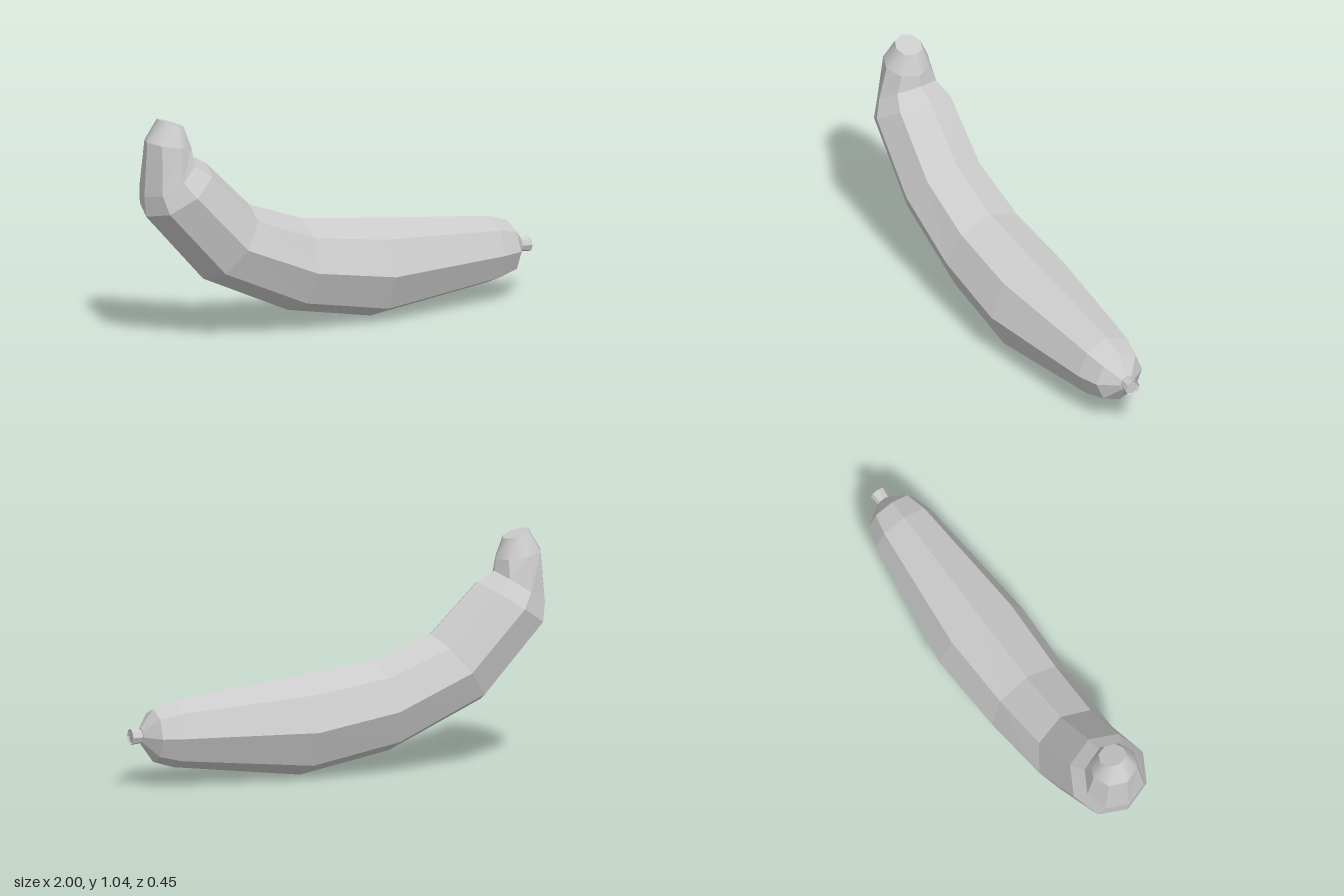
import * as THREE from 'three';

const SIDES = 8;

// Skin octagonal rings, each given by its upper and lower point [topX, topY, bottomX, bottomY].
function loft(name, rings, { flat = true, capStart = false, capEnd = false } = {}) {
  const pos = [], idx = [];
  const addRing = ([tx, ty, bx, by]) => {
    const cx = (tx + bx) / 2, cy = (ty + by) / 2;
    const ux = (tx - bx) / 2, uy = (ty - by) / 2, r = Math.hypot(ux, uy);
    const start = pos.length / 3;
    for (let j = 0; j < SIDES; j++) {
      const a = (j / SIDES) * Math.PI * 2;
      pos.push(cx + ux * Math.cos(a), cy + uy * Math.cos(a), r * Math.sin(a));
    }
    return start;
  };
  const starts = rings.map(addRing);
  for (let i = 0; i < rings.length - 1; i++) {
    for (let j = 0; j < SIDES; j++) {
      const k = (j + 1) % SIDES, a = starts[i], b = starts[i + 1];
      idx.push(a + j, b + j, a + k, a + k, b + j, b + k);
    }
  }
  // Flat caps use their own ring so their edges stay sharp
  const cap = (ring, flip) => {
    const s = addRing(ring);
    for (let j = 1; j < SIDES - 1; j++) {
      idx.push(...(flip ? [s, s + j + 1, s + j] : [s, s + j, s + j + 1]));
    }
  };
  if (capStart) cap(rings[0], false);
  if (capEnd) cap(rings[rings.length - 1], true);

  const geo = new THREE.BufferGeometry();
  geo.setAttribute('position', new THREE.Float32BufferAttribute(pos, 3));
  geo.setIndex(idx);
  geo.computeVertexNormals();
  const mesh = new THREE.Mesh(geo, new THREE.MeshStandardMaterial({
    color: 0xcccccc, flatShading: flat, side: THREE.DoubleSide,
  }));
  mesh.name = name;
  return mesh;
}

export function createModel() {
  const group = new THREE.Group();
  group.name = 'curvedFruit';

  const neckBase = [-0.765, 0.915, -0.98, 0.95];

  // Curved body, from the blossom end to the base of the neck
  group.add(loft('body', [
    [0.95, 0.265, 0.95, 0.193],
    [0.89, 0.349, 0.89, 0.109],
    [0.79, 0.382, 0.79, 0.078],
    [0.18, 0.453, 0.18, 0.003],
    [-0.18, 0.5, -0.25, 0.085],
    [-0.45, 0.597, -0.69, 0.287],
    [-0.675, 0.818, -0.985, 0.61],
    [-0.757, 0.863, -0.995, 0.7],
    neckBase,
  ], { capStart: true }));

  // Smooth tapering neck with a cut end
  group.add(loft('neck', [neckBase, [-0.8, 1.006, -0.92, 1.048]], { flat: false, capEnd: true }));

  // Small flared stub at the blossom end
  group.add(loft('tip', [
    [0.993, 0.259, 0.993, 0.199],
    [1, 0.266, 1, 0.192],
    [0.945, 0.259, 0.945, 0.199],
  ], { capStart: true }));

  return group;
}
